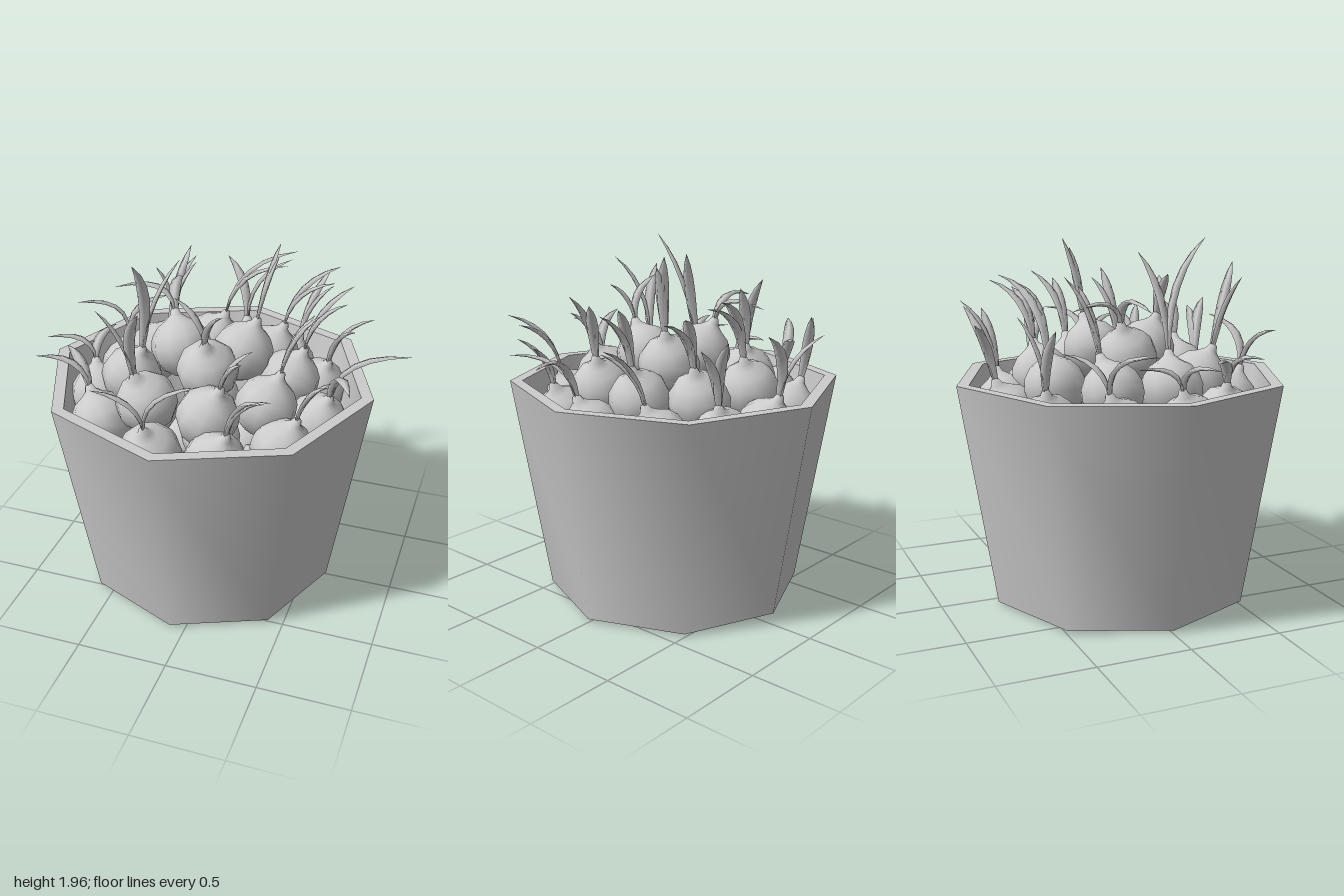
import * as THREE from 'three';
import { toCreasedNormals } from 'three/addons/utils/BufferGeometryUtils.js';

const grey = new THREE.MeshStandardMaterial({ color: 0xcccccc });
const thin = new THREE.MeshStandardMaterial({ color: 0xcccccc, side: THREE.DoubleSide });
const UP = new THREE.Vector3(0, 1, 0);
const TUB_X = -0.085;
const V = (x, y, z) => new THREE.Vector3(x, y, z);
const rad = THREE.MathUtils.degToRad;

const lathe = (points, sides) =>
  new THREE.LatheGeometry(points.map(([r, y]) => new THREE.Vector2(r, y)), sides);

// Rings of the heap. Each plant: angle round the tub, tip of its main leaf,
// and the turn in degrees from that leaf to the second one
const innerRing = [
  [-170, -0.66, 1.62, -0.07, 80], [-29, 0.24, 1.94, -0.2, 20], [75, -0.19, 1.76, 0.24, -150]
];
const middleRing = [
  [-153, -0.33, 1.78, -0.4, 40], [-107, 0.24, 1.75, -0.57, 15], [-57, 0.49, 1.7, -0.55, 25],
  [-15, 0.63, 1.73, -0.25, 30], [29, 0.56, 1.74, 0.16, -30], [73, 0.27, 1.6, 0.38, 40],
  [122, -0.24, 1.82, 0.6, 95], [164, -0.36, 1.96, 0.37, -98]
];
const outerRing = [
  [-158, -0.94, 1.45, -0.15, 168], [-123, -0.4, 1.6, -0.67, -134], [-90, 0.15, 1.6, -0.79, -116],
  [-63, 0.4, 1.6, -0.74, 40], [-33, 0.75, 1.55, -0.26, 30], [4, 0.99, 1.47, -0.05, 80],
  [35, 0.67, 1.5, 0.44, -35], [69, 0.44, 1.55, 0.78, -20], [101, 0.08, 1.5, 0.63, 170],
  [141, -0.91, 1.4, 0.42, 50], [168, -0.98, 1.37, 0.15, 117]
];

// Round bulb drawn up into a narrow neck
const bulbGeometry = lathe([
  [0, -0.165], [0.065, -0.152], [0.12, -0.113], [0.158, -0.05], [0.167, 0.01],
  [0.152, 0.07], [0.112, 0.122], [0.062, 0.152], [0.032, 0.178], [0.02, 0.21], [0, 0.215]
], 10);

function makeBulb(centre, axis) {
  const bulb = new THREE.Mesh(bulbGeometry, grey);
  bulb.name = 'bulb';
  bulb.position.copy(centre);
  bulb.quaternion.setFromUnitVectors(UP, axis);
  return bulb;
}

// Curved blade: flattened diamond section swept along a bending path
function makeLeaf(base, axis, tip) {
  const length = base.distanceTo(tip);
  const control = base.clone().addScaledVector(axis, length * 0.3).addScaledVector(UP, length * 0.32);
  const curve = new THREE.QuadraticBezierCurve3(base, control, tip);
  const side = V(tip.z - base.z, 0, base.x - tip.x).normalize();
  const steps = 6, positions = [], index = [];
  for (let i = 0; i <= steps; i++) {
    const t = i / steps;
    const p = curve.getPoint(t);
    const out = side.clone().cross(curve.getTangent(t)).normalize();
    const width = 0.032 * (0.45 + 1.6 * t) * (1 - t * t) + 0.001;
    for (let k = 0; k < 4; k++) {
      const a = k * Math.PI / 2;
      const q = p.clone().addScaledVector(side, Math.cos(a) * width)
        .addScaledVector(out, Math.sin(a) * width * 0.4);
      positions.push(q.x, q.y, q.z);
      if (i < steps) {
        const m = i * 4 + k, n = i * 4 + (k + 1) % 4;
        index.push(m, n, m + 4, n, n + 4, m + 4);
      }
    }
  }
  const geometry = new THREE.BufferGeometry();
  geometry.setAttribute('position', new THREE.Float32BufferAttribute(positions, 3));
  geometry.setIndex(index);
  geometry.computeVertexNormals();
  const leaf = new THREE.Mesh(geometry, thin);
  leaf.name = 'leaf';
  return leaf;
}

// Bulb leaning midway between its two leaves
function makePlant(radius, height, [angle, tipX, tipY, tipZ, turn]) {
  const plant = new THREE.Group();
  plant.name = 'sproutingBulb';
  const a = rad(angle);
  const centre = V(TUB_X + Math.cos(a) * radius, height, Math.sin(a) * radius);
  const tip = V(tipX, tipY, tipZ);
  const lean = Math.atan2(tipZ - centre.z, tipX - centre.x) + rad(turn) / 2;
  const axis = V(Math.cos(lean) * 0.42, 1, Math.sin(lean) * 0.42).normalize();
  const base = centre.clone().addScaledVector(axis, 0.19);
  const secondTip = tip.clone().sub(base).applyAxisAngle(UP, -rad(turn))
    .multiplyScalar(0.87).add(base);
  plant.add(makeBulb(centre, axis), makeLeaf(base, axis, tip), makeLeaf(base, axis, secondTip));
  return plant;
}

export function createModel() {
  const model = new THREE.Group();
  model.name = 'bulbPlanter';

  // Eight-sided tapered tub with a thick rim, hollow inside
  const tub = new THREE.Mesh(toCreasedNormals(lathe([
    [0, 0], [0.71, 0.015], [0.907, 1.22], [0.84, 1.22], [0.65, 0.06], [0, 0.06]
  ], 8), 1), grey);
  tub.name = 'tub';
  tub.position.set(TUB_X, 0, 0.005);
  model.add(tub);

  // Domed heap of sprouting bulbs
  innerRing.forEach(row => model.add(makePlant(0.18, 1.34, row)));
  middleRing.forEach(row => model.add(makePlant(0.43, 1.2, row)));
  outerRing.forEach(row => model.add(makePlant(0.62, 1.05, row)));

  // Lower layers that carry the heap
  const filling = new THREE.Group();
  filling.name = 'lowerBulbs';
  [[0.23, 0.38, 6], [0.52, 0.43, 7], [0.81, 0.47, 7]].forEach(([y, radius, count], layer) => {
    filling.add(makeBulb(V(TUB_X, y, 0), UP));
    for (let i = 0; i < count; i++) {
      const a = (i / count) * Math.PI * 2 + layer * 0.4;
      filling.add(makeBulb(V(TUB_X + Math.cos(a) * radius, y, Math.sin(a) * radius), UP));
    }
  });
  model.add(filling);

  return model;
}
